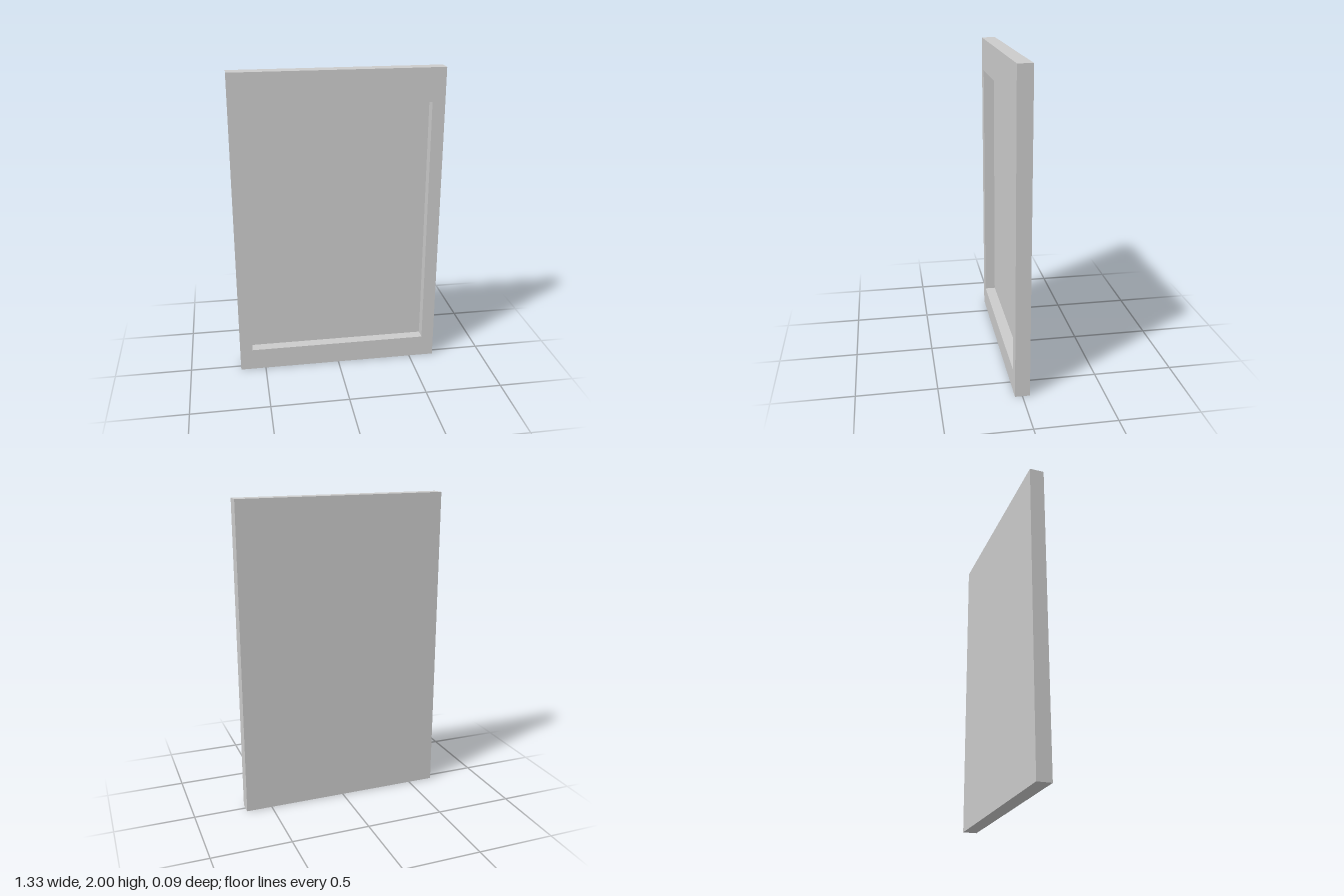
import * as THREE from 'three';

const WIDTH = 1.333, HEIGHT = 2, DEPTH = 0.092;
const RECESS = 0.07;
// Opening, slightly higher margin at the top than at the bottom
const OPEN = { left: -0.585, right: 0.585, bottom: 0.143, top: 1.787 };

function rectangle(PathType, x0, y0, x1, y1) {
  return new PathType([[x0, y0], [x1, y0], [x1, y1], [x0, y1]].map(([x, y]) => new THREE.Vector2(x, y)));
}

export function createModel() {
  const group = new THREE.Group();
  group.name = 'framedPanel';
  const material = new THREE.MeshStandardMaterial({ color: 0xcccccc });

  // Outer frame with a rectangular opening
  const outline = rectangle(THREE.Shape, -WIDTH / 2, 0, WIDTH / 2, HEIGHT);
  outline.holes.push(rectangle(THREE.Path, OPEN.left, OPEN.bottom, OPEN.right, OPEN.top));
  const frameGeometry = new THREE.ExtrudeGeometry(outline, { depth: DEPTH, bevelEnabled: false });
  frameGeometry.translate(0, 0, -DEPTH / 2);
  const frame = new THREE.Mesh(frameGeometry, material);
  frame.name = 'frame';
  group.add(frame);

  // Backing panel closing the opening, flush with the back
  const thickness = DEPTH - RECESS;
  const panel = new THREE.Mesh(
    new THREE.BoxGeometry(OPEN.right - OPEN.left, OPEN.top - OPEN.bottom, thickness), material);
  panel.position.set((OPEN.left + OPEN.right) / 2, (OPEN.bottom + OPEN.top) / 2, (thickness - DEPTH) / 2);
  panel.name = 'backPanel';
  group.add(panel);

  return group;
}
